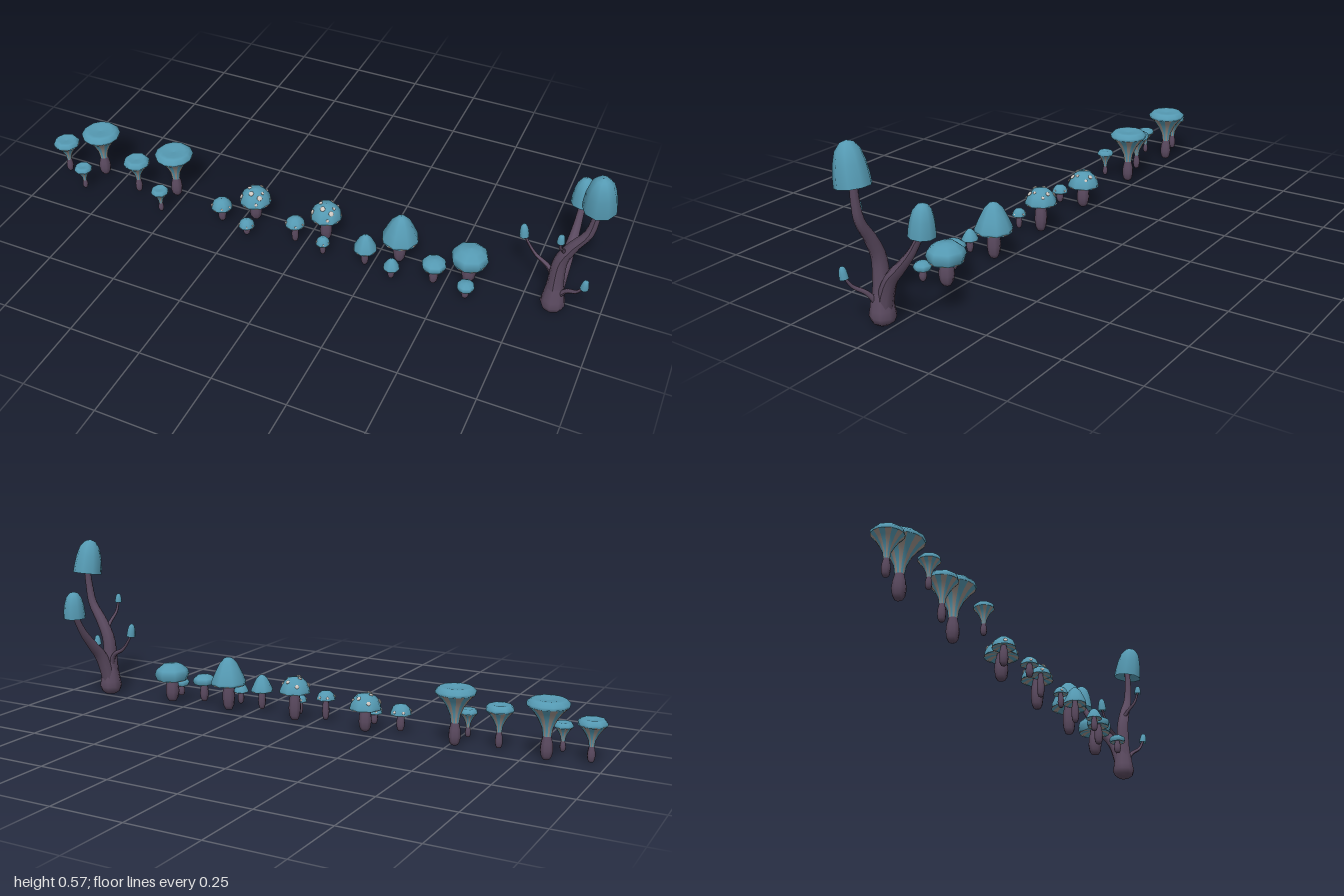
import * as THREE from 'three';
import { mergeGeometries } from 'three/addons/utils/BufferGeometryUtils.js';

const capMat = new THREE.MeshStandardMaterial({ color: 0x559ab3, side: THREE.DoubleSide });
const stemMat = new THREE.MeshStandardMaterial({ color: 0x5b4a60, side: THREE.DoubleSide });
const gillMat = new THREE.MeshStandardMaterial({ color: 0x9c928c, side: THREE.DoubleSide });
const spotMat = new THREE.MeshStandardMaterial({ color: 0xcfc8c2 });

// Cap profiles from rim to apex, as [fraction of radius, fraction of height]
const PROFILES = {
  dome: [[1, 0], [0.98, 0.2], [0.8, 0.6], [0.48, 0.9], [0, 1]],
  cone: [[0.97, 0], [1, 0.1], [0.78, 0.42], [0.5, 0.78], [0.22, 0.96], [0, 1]],
  flat: [[0.88, 0], [1, 0.35], [0.9, 0.65], [0.55, 0.93], [0, 1]],
  trumpet: [[0.97, 0], [1, 0.4], [0.8, 0.95], [0.6, 1], [0, 0.75]],
  bell: [[1, 0], [0.97, 0.2], [0.87, 0.5], [0.68, 0.78], [0.36, 0.95], [0, 1]],
};

const scaled = (pts, r, y0, y1) => pts.map(([a, b]) => new THREE.Vector2(a * r, y0 + b * (y1 - y0)));

function add(parent, name, geometry, material) {
  const mesh = new THREE.Mesh(geometry, material);
  mesh.name = name;
  parent.add(mesh);
  return mesh;
}

// Revolved underside whose sectors alternate between cap and gill colours
function addStripes(parent, name, pts, sides) {
  const step = (Math.PI * 2) / sides;
  [capMat, gillMat].forEach((mat, k) => {
    const sectors = [];
    for (let i = k; i < sides; i += 2) sectors.push(new THREE.LatheGeometry(pts, 1, i * step, step));
    add(parent, name + (k ? 'Pale' : 'Blue'), mergeGeometries(sectors), mat);
  });
}

// Flattened warts lying on the cap surface
function addSpots(parent, pts, count, size) {
  const up = new THREE.Vector3(0, 1, 0);
  const list = [];
  for (let i = 0; i < count; i++) {
    const a = i * 2.4 + 0.5;
    const t = 1.35 + ((i * 5) % count) / count * 2.1;
    const k = Math.min(Math.floor(t), pts.length - 2);
    const p = pts[k].clone().lerp(pts[k + 1], t - k);
    const d = pts[k + 1].clone().sub(pts[k]).normalize();
    const n = new THREE.Vector3(d.y * Math.sin(a), -d.x, d.y * Math.cos(a));
    const s = size * (0.75 + 0.25 * (i % 3));
    const g = new THREE.SphereGeometry(s, 7, 5).scale(1, 0.4, 1);
    g.applyQuaternion(new THREE.Quaternion().setFromUnitVectors(up, n));
    g.translate(p.x * Math.sin(a), p.y, p.x * Math.cos(a));
    list.push(g);
  }
  add(parent, 'spots', mergeGeometries(list), spotMat);
}

function makeMushroom(kind, spots, [x, z, r, rimY, topY, stemR]) {
  const g = new THREE.Group();
  g.name = kind + 'Mushroom';
  g.position.set(x, 0, z);
  const trumpet = kind === 'trumpet';
  const sides = r > 0.06 && trumpet ? 12 : 8;
  const stemTop = trumpet ? rimY * 0.5 : rimY + (topY - rimY) * 0.25;

  // Bulbous stem
  const stem = [[0, 0], [0.55, 0.02], [0.85, 0.15], [1, 0.38], [0.9, 0.65], [0.65, 0.9], [0.6, 1]];
  add(g, 'stem', new THREE.LatheGeometry(scaled(stem, stemR, 0.007, stemTop), 8), stemMat);

  // Cap top
  const top = scaled(PROFILES[kind], r, rimY, topY);
  add(g, 'cap', new THREE.LatheGeometry(top, sides), capMat);

  // Striped funnel or shallow gilled underside
  if (trumpet) {
    const neck = (stemR * 0.65) / r;
    const funnel = [[neck, 0], [neck + 0.06, 0.28], [0.46, 0.58], [0.7, 0.82], [0.97, 1]];
    addStripes(g, 'funnel', scaled(funnel, r, stemTop * 0.92, rimY), 16);
  } else {
    const rim = PROFILES[kind][0][0];
    const under = scaled([[0.2, 0.2], [0.65, 0.14], [rim, 0]], r, rimY, topY);
    addStripes(g, 'gills', under, 16);
  }
  if (spots) addSpots(g, top, r > 0.05 ? 9 : 5, r * 0.14);
  return g;
}

// Tapered tube: each ring of a tube is scaled about the path
function limb(points, radii) {
  const path = new THREE.CatmullRomCurve3(points.map((p) => new THREE.Vector3(...p)));
  const n = 18, sides = 8;
  const geo = new THREE.TubeGeometry(path, n, 1, sides);
  const pos = geo.attributes.position;
  const v = new THREE.Vector3();
  for (let i = 0; i <= n; i++) {
    const c = path.getPointAt(i / n);
    const f = (i / n) * (radii.length - 1);
    const k = Math.min(Math.floor(f), radii.length - 2);
    const r = THREE.MathUtils.lerp(radii[k], radii[k + 1], f - k);
    for (let j = 0; j <= sides; j++) {
      const id = i * (sides + 1) + j;
      v.fromBufferAttribute(pos, id).sub(c).multiplyScalar(r).add(c);
      pos.setXYZ(id, v.x, v.y, v.z);
    }
  }
  geo.computeVertexNormals();
  return geo;
}

function addBell(parent, [x, y, z], r, h, tiltX, tiltZ) {
  const g = new THREE.Group();
  g.name = 'bellCap';
  g.position.set(x, y, z);
  g.rotation.set(tiltX, 0, tiltZ);
  add(g, 'cap', new THREE.LatheGeometry(scaled(PROFILES.bell, r, 0, h), 9), capMat);
  const under = scaled([[0, 0.16], [0.5, 0.13], [0.85, 0.06], [1, 0]], r, 0, h);
  add(g, 'capUnderside', new THREE.LatheGeometry(under, 9), capMat);
  parent.add(g);
}

function makeTree() {
  const g = new THREE.Group();
  g.name = 'branchingMushroom';
  // Swollen foot
  const foot = [[0, 0], [0.02, 0], [0.034, 0.01], [0.041, 0.028], [0.037, 0.048], [0.034, 0.07], [0.028, 0.1]];
  add(g, 'foot', new THREE.LatheGeometry(foot.map((p) => new THREE.Vector2(...p)), 9), stemMat)
    .position.set(0.85, 0, 0.036);
  // Trunk and branches: path, radii, cap [radius, height, tiltX, tiltZ]
  const limbs = [
    ['trunk', [[0.85, 0.05, 0.036], [0.849, 0.14, 0.037], [0.855, 0.21, 0.037], [0.885, 0.275, 0.037],
      [0.922, 0.335, 0.037], [0.935, 0.4, 0.037], [0.94, 0.46, 0.035]],
      [0.033, 0.026, 0.023, 0.02, 0.016, 0.013, 0.011], [0.053, 0.125, 0.16, 0.03]],
    ['backBranch', [[0.85, 0.05, 0.03], [0.855, 0.11, 0.012], [0.86, 0.155, -0.01], [0.863, 0.195, -0.045],
      [0.866, 0.25, -0.09], [0.867, 0.325, -0.134]],
      [0.027, 0.024, 0.02, 0.016, 0.012, 0.01], [0.04, 0.095, -0.03, 0.02]],
    ['rightBranch', [[0.845, 0.09, 0.033], [0.82, 0.15, 0.022], [0.77, 0.18, 0.012], [0.74, 0.215, 0.006],
      [0.725, 0.24, 0.004]], [0.013, 0.009, 0.007, 0.005, 0.004], [0.016, 0.048, 0, 0.12]],
    ['leftBranch', [[0.86, 0.06, 0.04], [0.89, 0.105, 0.055], [0.925, 0.135, 0.077], [0.945, 0.168, 0.085]],
      [0.012, 0.008, 0.006, 0.004], [0.014, 0.038, 0.1, -0.1]],
    ['frontTwig', [[0.862, 0.24, 0.037], [0.858, 0.27, 0.06], [0.855, 0.3, 0.09], [0.855, 0.337, 0.104]],
      [0.008, 0.006, 0.005, 0.004], [0.013, 0.032, 0.05, 0]],
  ];
  for (const [name, path, radii, [r, h, tx, tz]] of limbs) {
    add(g, name, limb(path, radii), stemMat);
    const [x, y, z] = path[path.length - 1];
    addBell(g, [x, y - h * 0.12, z], r, h, tx, tz);
  }
  return g;
}

// Clusters of large, medium and small: [x, z, radius, rim height, top height, stem radius]
const CLUSTERS = [
  ['trumpet', false, [[-0.824, 0.032, 0.068, 0.178, 0.2, 0.021], [-0.952, 0.07, 0.047, 0.126, 0.145, 0.013],
    [-0.845, 0.134, 0.032, 0.088, 0.103, 0.01]]],
  ['trumpet', false, [[-0.524, 0.032, 0.067, 0.178, 0.2, 0.021], [-0.658, 0.07, 0.047, 0.13, 0.15, 0.013],
    [-0.53, 0.134, 0.031, 0.088, 0.103, 0.01]]],
  ['dome', true, [[-0.208, 0.032, 0.055, 0.085, 0.137, 0.023], [-0.31, 0.09, 0.037, 0.065, 0.1, 0.015],
    [-0.198, 0.123, 0.028, 0.045, 0.072, 0.013]]],
  ['dome', true, [[0.059, 0.032, 0.054, 0.106, 0.16, 0.022], [-0.032, 0.086, 0.034, 0.08, 0.11, 0.013],
    [0.08, 0.107, 0.024, 0.052, 0.078, 0.011]]],
  ['cone', false, [[0.326, 0.032, 0.063, 0.1, 0.198, 0.023], [0.228, 0.096, 0.04, 0.072, 0.132, 0.014],
    [0.332, 0.123, 0.028, 0.05, 0.088, 0.012]]],
  ['flat', false, [[0.567, 0.032, 0.063, 0.088, 0.147, 0.025], [0.465, 0.086, 0.042, 0.072, 0.106, 0.016],
    [0.583, 0.112, 0.03, 0.046, 0.072, 0.013]]],
];

export function createModel() {
  const model = new THREE.Group();
  model.name = 'mushroomCollection';
  for (const [kind, spots, members] of CLUSTERS) {
    const cluster = new THREE.Group();
    cluster.name = kind + 'Cluster';
    for (const m of members) cluster.add(makeMushroom(kind, spots, m));
    model.add(cluster);
  }
  model.add(makeTree());
  return model;
}
